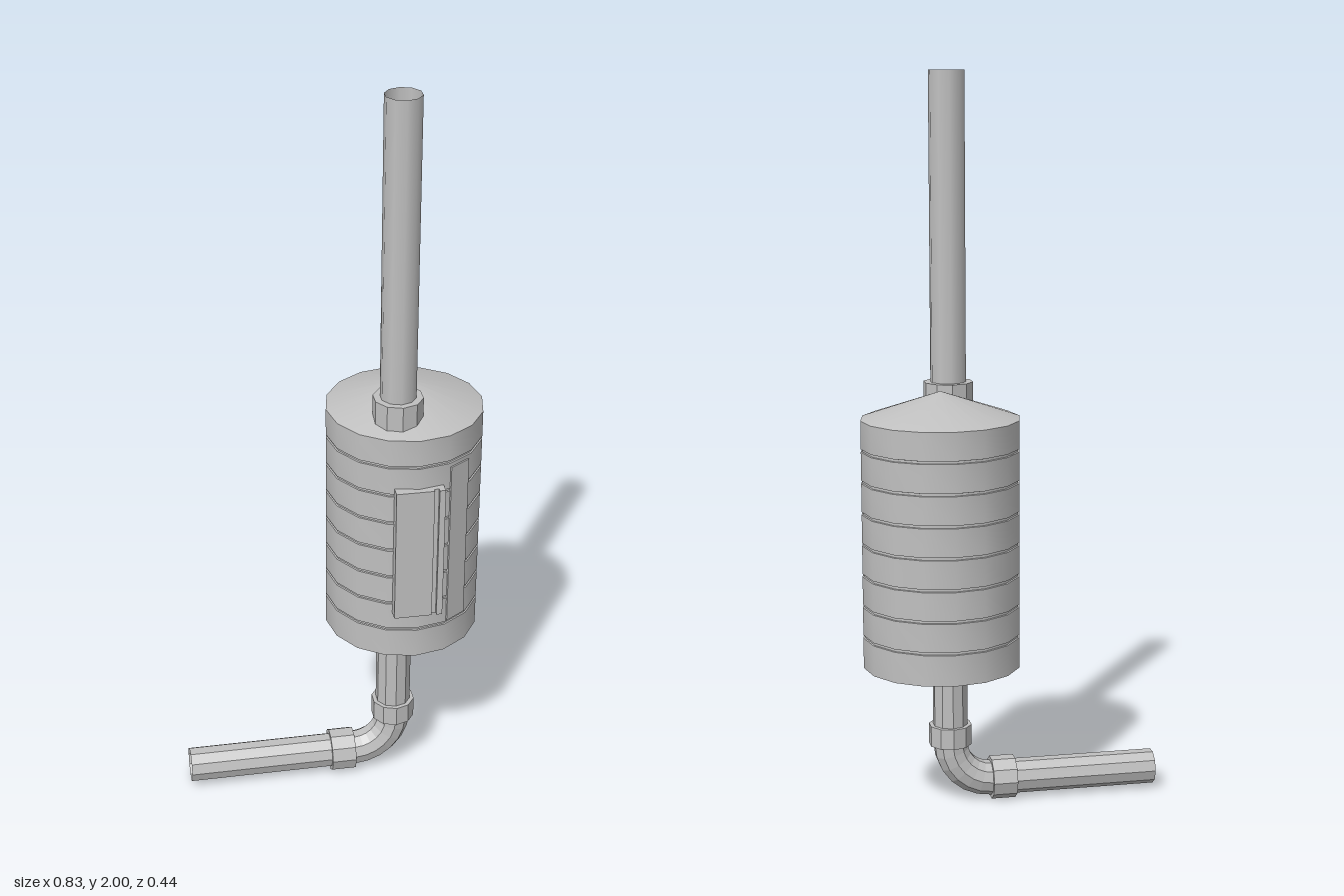
import * as THREE from 'three';
import { toCreasedNormals } from 'three/addons/utils/BufferGeometryUtils.js';

const PIPE_X = 0.16, PIPE_Z = 0.098, PIPE_R = 0.048, SIDES = 10;
const TANK_X = 0.2, TANK_Z = -0.009, TANK_R = 0.212;
const LOW_Y = 0.0575, BEND = 0.113;

export function createModel() {
  const model = new THREE.Group();
  const metal = new THREE.MeshStandardMaterial({ color: 0xc0c0c0, side: THREE.DoubleSide });
  metal.name = 'light grey metal';

  const add = (name, geometry, x = 0, y = 0, z = 0) => {
    const mesh = new THREE.Mesh(geometry, metal);
    mesh.name = name;
    mesh.position.set(x, y, z);
    model.add(mesh);
    return mesh;
  };
  const flat = (geometry) => {
    const g = geometry.toNonIndexed();
    g.computeVertexNormals();
    return g;
  };
  const box = (name, x0, x1, y0, y1, z0, z1) => add(name,
    new THREE.BoxGeometry(x1 - x0, y1 - y0, z1 - z0), (x0 + x1) / 2, (y0 + y1) / 2, (z0 + z1) / 2);

  // Tank: banded wall, flat bottom and low conical lid
  const profile = [[0, 0.43], [TANK_R, 0.43]];
  for (let i = 0; i < 7; i++) {
    const y = 0.517 + i * 0.084;
    profile.push([TANK_R, y - 0.004], [TANK_R - 0.004, y - 0.003],
      [TANK_R - 0.004, y + 0.003], [TANK_R, y + 0.004]);
  }
  profile.push([TANK_R, 1.1], [0, 1.172]);
  const tank = new THREE.LatheGeometry(profile.map(([r, y]) => new THREE.Vector2(r, y)), 16);
  add('tank', toCreasedNormals(tank, 0.5), TANK_X, 0, TANK_Z);

  // Vertical and horizontal pipes, open at the ends
  const pipe = (length) => new THREE.CylinderGeometry(PIPE_R, PIPE_R, length, SIDES, 1, true);
  add('chimneyPipe', pipe(0.85), PIPE_X, 1.575, PIPE_Z);
  add('lowerPipe', flat(pipe(0.28)), PIPE_X, 0.31, PIPE_Z);
  add('outletPipe', flat(pipe(0.465)), -0.1855, LOW_Y, PIPE_Z).rotation.z = Math.PI / 2;

  // Elbow: a straight tube bent through a quarter circle
  const elbow = new THREE.CylinderGeometry(PIPE_R, PIPE_R, 1, SIDES, 6, true);
  const p = elbow.attributes.position;
  for (let i = 0; i < p.count; i++) {
    const a = (p.getY(i) - 0.5) * Math.PI / 2;
    const r = BEND + p.getX(i);
    p.setXY(i, r * Math.cos(a), r * Math.sin(a));
  }
  add('elbow', flat(elbow), PIPE_X - BEND, LOW_Y + BEND, PIPE_Z);

  // Collars at the joints
  const collar = (r, h) => flat(new THREE.CylinderGeometry(r, r, h, SIDES));
  add('chimneyCollar', collar(0.067, 0.08), PIPE_X, 1.14, PIPE_Z);
  add('elbowCollar', collar(0.0595, 0.057), PIPE_X, 0.1935, PIPE_Z);
  add('outletCollar', collar(0.0595, 0.067), 0.0135, LOW_Y, PIPE_Z).rotation.z = Math.PI / 2;

  // Front door: panel, shallow groove and edge rail
  box('doorPanel', 0.135, 0.237, 0.57, 0.957, 0.17, 0.22);
  box('doorGroove', 0.237, 0.25, 0.57, 0.957, 0.17, 0.21);
  box('doorRail', 0.25, 0.266, 0.57, 0.957, 0.17, 0.22);

  // Gauge strip lying on the facet beside the door
  const angle = Math.PI * 3 / 16;
  const reach = TANK_R * Math.cos(Math.PI / 16) + 0.001;
  const strip = add('gaugeStrip', new THREE.BoxGeometry(0.066, 0.48, 0.006),
    TANK_X + reach * Math.sin(angle) - 0.003, 0.765, TANK_Z + reach * Math.cos(angle) + 0.002);
  strip.rotation.y = angle;

  return model;
}
